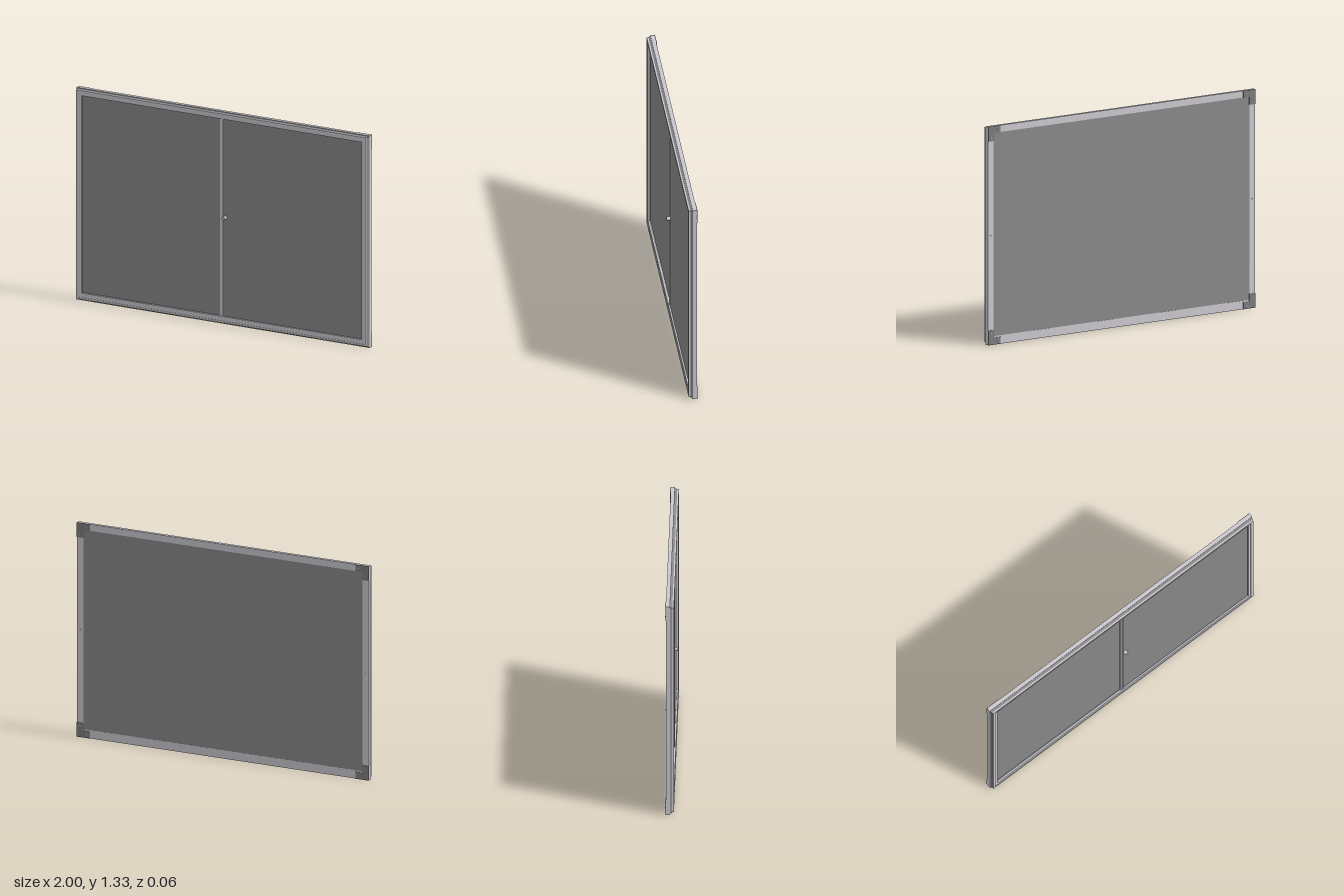
import * as THREE from 'three';

const mat = (name, color) => {
  const m = new THREE.MeshStandardMaterial({ color });
  m.name = name;
  return m;
};

export function createModel() {
  const aluminium = mat('aluminium', 0xcac8ce);
  const panelGrey = mat('panel grey', 0x888888);
  const cornerGrey = mat('corner grey', 0x7c7c7e);

  const H = 1.33, CY = H / 2;
  const model = new THREE.Group();
  model.name = 'displayCabinet';

  const add = (name, geometry, material, x = 0, y = 0, z = 0) => {
    const mesh = new THREE.Mesh(geometry, material);
    mesh.name = name;
    mesh.position.set(x, y, z);
    model.add(mesh);
    return mesh;
  };
  const box = (name, material, x0, x1, y0, y1, z0, z1) =>
    add(name, new THREE.BoxGeometry(x1 - x0, y1 - y0, z1 - z0), material,
      (x0 + x1) / 2, (y0 + y1) / 2, (z0 + z1) / 2);

  const trace = (path, hw, y0, y1) => {
    path.moveTo(-hw, y0);
    path.lineTo(hw, y0);
    path.lineTo(hw, y1);
    path.lineTo(-hw, y1);
    path.closePath();
    return path;
  };
  // Rectangular ring: outer and inner are [half width, bottom, top]
  const ring = (name, material, outer, inner, z0, z1) => {
    const shape = trace(new THREE.Shape(), ...outer);
    shape.holes.push(trace(new THREE.Path(), ...inner));
    return add(name, new THREE.ExtrudeGeometry(shape, { depth: z1 - z0, bevelEnabled: false }),
      material, 0, 0, z0);
  };

  // Stepped outer frame
  const opening = [0.957, 0.052, 1.289];
  ring('rearFrame', aluminium, [1, 0, H], opening, -0.026, -0.002);
  const seal = ring('frameSeal', panelGrey, [1, 0.004, H - 0.004], opening, -0.002, 0.012);
  // Taper the seal towards the front
  const p = seal.geometry.attributes.position;
  for (let i = 0; i < p.count; i++) {
    if (p.getZ(i) > 0.01 && Math.abs(p.getX(i)) > 0.99) {
      p.setX(i, Math.sign(p.getX(i)) * 0.991);
      p.setY(i, p.getY(i) < CY ? 0.011 : H - 0.009);
    }
  }
  seal.geometry.computeVertexNormals();
  ring('frontFrame', aluminium, [0.99, 0.013, 1.322], [0.972, 0.024, 1.305], 0.012, 0.022);
  ring('innerTrim', aluminium, [0.972, 0.024, 1.305], opening, 0.0, 0.019);

  // Back board and the two sliding door panels
  box('backBoard', panelGrey, -0.957, 0.957, 0.045, 1.29, -0.0255, -0.018);
  box('leftDoor', panelGrey, -0.004, 0.957, 0.052, 1.289, 0.005, 0.009);
  box('rightDoor', panelGrey, -0.957, 0.004, 0.052, 1.289, 0, 0.004);
  box('rightDoorStile', aluminium, -0.014, -0.004, 0.052, 1.289, -0.001, 0.011);
  box('leftDoorStile', aluminium, -0.001, 0.009, 0.052, 1.289, 0.003, 0.014);
  box('stileSeal', panelGrey, -0.004, -0.001, 0.052, 1.289, 0.0, 0.01);

  // Lock on the left door
  const lock = new THREE.CylinderGeometry(0.012, 0.012, 0.023, 24).rotateX(Math.PI / 2);
  add('lockBarrel', lock, aluminium, 0.02, 0.67, 0.0205);
  box('keySlot', cornerGrey, 0.019, 0.021, 0.664, 0.676, 0.0318, 0.0325);

  // L-shaped back corner plates with screws
  const screw = new THREE.CylinderGeometry(0.004, 0.004, 0.003, 12).rotateX(Math.PI / 2);
  for (const sx of [-1, 1]) {
    for (const sy of [-1, 1]) {
      const at = (x, y) => new THREE.Vector2(sx * (1 - x), CY + sy * (CY - y));
      const outline = [at(0, 0), at(0.09, 0), at(0.09, 0.043), at(0.045, 0.043),
        at(0.045, 0.09), at(0, 0.09)];
      const plate = new THREE.ExtrudeGeometry(new THREE.Shape(outline),
        { depth: 0.004, bevelEnabled: false });
      add('cornerPlate', plate, cornerGrey, 0, 0, -0.0295);
      for (const [x, y] of [[0.022, 0.07], [0.07, 0.02]]) {
        const s = at(x, y);
        add('cornerScrew', screw, aluminium, s.x, s.y, -0.0295);
      }
    }
    // Fixing screw halfway up each side rail
    add('sideScrew', screw, cornerGrey, sx * 0.978, CY, -0.0265);
  }
  return model;
}
